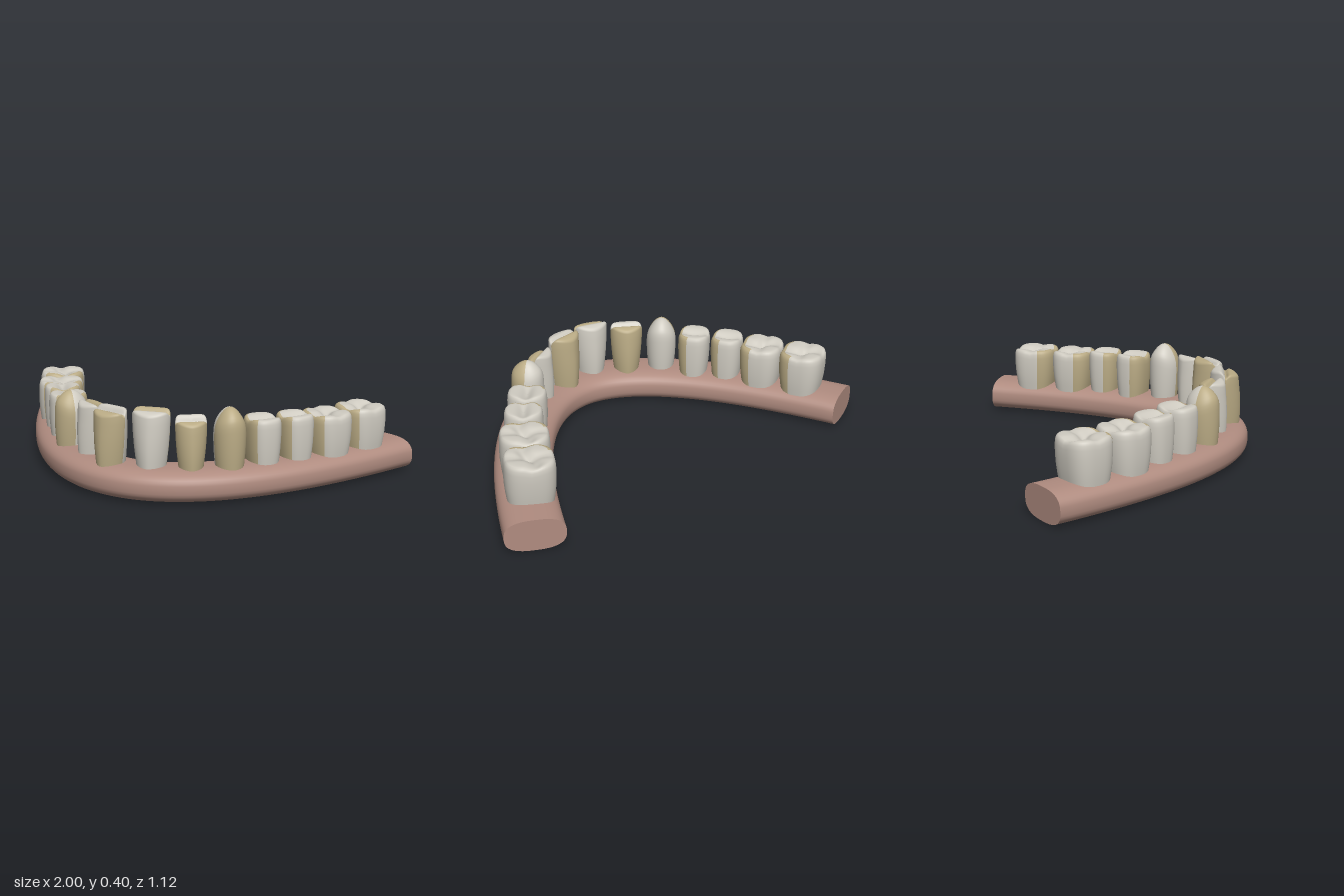
import * as THREE from 'three';

const CURVE = 1.194, APEX = 0.43, END = 0.883;
const cream = new THREE.MeshStandardMaterial({ color: 0xcfcbc1 });
const tan = new THREE.MeshStandardMaterial({ color: 0xbaab85 });
const pink = new THREE.MeshStandardMaterial({ color: 0xb08c80 });

// Superellipse point on the unit outline
function outline(a, n) {
  const c = Math.cos(a), s = Math.sin(a), e = 2 / n;
  return [Math.sign(c) * Math.abs(c) ** e, Math.sign(s) * Math.abs(s) ** e];
}

// Skin over closed rings; faces are split into two material groups by isSecond(angle, ring)
function loft(rings, isSecond = () => false) {
  const n = rings[0].length, passes = [[], []];
  for (let j = 0; j < n; j++) {
    const k = (j + 1) % n;
    for (let i = 0; i < rings.length - 1; i++) {
      const a = i * n + j, b = i * n + k, c = a + n, d = b + n;
      passes[isSecond((j + 0.5) / n * Math.PI * 2, i) ? 1 : 0].push(a, c, b, b, c, d);
    }
  }
  const g = new THREE.BufferGeometry();
  g.setAttribute('position', new THREE.Float32BufferAttribute(rings.flat(2), 3));
  g.setIndex([...passes[0], ...passes[1]]);
  g.addGroup(0, passes[0].length, 0);
  g.addGroup(passes[0].length, passes[1].length, 1);
  g.computeVertexNormals();
  return g;
}

// Gum: rounded bar swept along a parabolic arch, with flat ends
function makeGum() {
  const rings = [], N = 72, M = 40;
  for (let i = 0; i <= N; i++) {
    const x = END * (2 * i / N - 1), z = APEX - CURVE * x * x;
    const len = Math.hypot(2 * CURVE * x, 1), nx = 2 * CURVE * x / len, nz = 1 / len;
    const ring = [];
    for (let j = 0; j < M; j++) {
      const [u, v] = outline(j / M * Math.PI * 2, 2.7);
      ring.push([x + nx * u * 0.129, 0.0725 + v * 0.0725, z + nz * u * 0.129]);
    }
    rings.push(ring);
  }
  const group = new THREE.Group();
  group.name = 'gum';
  const bar = new THREE.Mesh(loft(rings), [pink, pink]);
  bar.name = 'gumArch';
  group.add(bar);
  for (const [ring, x] of [[rings[0], -END], [rings[N], END]]) {
    const centre = ring.map(() => [x, 0.0725, APEX - CURVE * x * x]);
    const cap = new THREE.Mesh(loft(x > 0 ? [ring, centre] : [centre, ring]), [pink, pink]);
    cap.name = 'gumEnd';
    group.add(cap);
  }
  return group;
}

// Biting-surface heights: u runs along the arch, v points outward
const bell = (t, w) => Math.exp(-((t / w) ** 2));
const surfaces = {
  incisor: (front, back) => (u, v) => back + (front - back) * THREE.MathUtils.smoothstep(v, -0.15, 0.15)
    - 0.02 * bell(v, 0.2) - 0.015 * v * v,
  canine: (h) => (u, v) => h - 0.085 * u * u - 0.06 * v * v,
  premolar: (h) => (u, v) => h - 0.022 * bell(v, 0.3) * (1 - 0.6 * u * u),
  molar: (h) => (u, v) => h - 0.02 * bell(v + 0.2 * Math.sin(3 * u), 0.25) * (1 - 0.5 * u * u)
    - 0.012 * bell(u, 0.22) * (1 - 0.4 * v * v),
};

// Crown profile: [outline scale, fraction of height]
const PROFILE = [[0.9, 0], [0.95, 0.2], [0.99, 0.42], [1, 0.65], [0.99, 0.82], [0.97, 0.91], [0.93, 0.965],
  [0.87, 0.99], [0.78, 1], [0.66, 1], [0.54, 1], [0.42, 1], [0.3, 1], [0.2, 1], [0.1, 1], [0, 1]];
const SHARP = PROFILE.map(([s, f]) => [f < 0.9 ? s : Math.min(1, s * 1.03), f > 0.9 ? 1 - (1 - f) * 0.5 : f]);
const RIM = 8;

function makeTooth({ name, x, z, w, d, n, taper, depthTop = 1, top, second, profile = PROFILE }) {
  const M = 48, base = 0.115;
  const rings = profile.map(([s, f]) => Array.from({ length: M }, (_, j) => {
    const [a, b] = outline(j / M * Math.PI * 2, n);
    const u = a * s, v = b * s;
    return [u * w / 2 * (taper + (1 - taper) * Math.min(1, f * 1.2)),
      base + (top(u, v) - base) * f,
      v * d / 2 * (1 + (depthTop - 1) * f * f)];
  }));
  const tooth = new THREE.Mesh(loft(rings, second), [cream, tan]);
  tooth.name = name;
  tooth.position.set(x, 0, z);
  tooth.rotation.y = Math.atan2(2 * CURVE * x, 1);
  return tooth;
}

export function createModel() {
  const model = new THREE.Group();
  model.name = 'lowerJaw';
  model.add(makeGum());

  const front = (a) => Math.sin(a) > 0, back = (a) => Math.sin(a) < 0;

  // Incisors: [name, x, z, width, depth, front height, back height, tan half]
  for (const [name, x, z, w, d, hf, hb, second] of [
    ['leftCentralIncisor', 0.085, 0.405, 0.17, 0.16, 0.388, 0.395, back],
    ['rightCentralIncisor', -0.097, 0.437, 0.168, 0.156, 0.374, 0.39, front],
    ['leftLateralIncisor', 0.253, 0.36, 0.138, 0.135, 0.35, 0.372, front],
    ['rightLateralIncisor', -0.243, 0.342, 0.155, 0.145, 0.374, 0.37, back],
  ]) model.add(makeTooth({ name, x, z, w, d, n: 1.75, taper: 0.82, depthTop: 0.8,
    top: surfaces.incisor(hf, hb), second, profile: SHARP }));

  // Canines and back teeth on both sides
  for (const side of [1, -1]) {
    const label = side > 0 ? 'left' : 'right', shift = side > 0 ? 0 : -0.007;
    model.add(makeTooth({ name: label + 'Canine', x: side * 0.39 + shift, z: 0.262, w: 0.143, d: 0.15,
      n: 2, taper: 0.92, top: surfaces.canine(side > 0 ? 0.402 : 0.39), second: front }));

    // Tan covers the side walls facing forward along the arch
    const mesial = (a, ring) => {
      const forward = -side * Math.cos(a);
      return ring < RIM && forward > (Math.sin(a) < 0 ? 0.3 : 0.75);
    };
    for (const [name, kind, x, z, w, d, h] of [
      ['FirstPremolar', 'premolar', 0.485, 0.126, 0.152, 0.178, 0.338],
      ['SecondPremolar', 'premolar', 0.588, 0.003, 0.152, 0.172, 0.335],
      ['FirstMolar', 'molar', 0.683, -0.142, 0.2, 0.218, 0.322],
      ['SecondMolar', 'molar', 0.78, -0.32, 0.21, 0.218, 0.322],
    ]) model.add(makeTooth({ name: label + name, x: side * x + shift, z, w, d,
      n: kind === 'molar' ? 2.8 : 2.5, taper: 0.92, top: surfaces[kind](h), second: mesial }));
  }
  return model;
}
